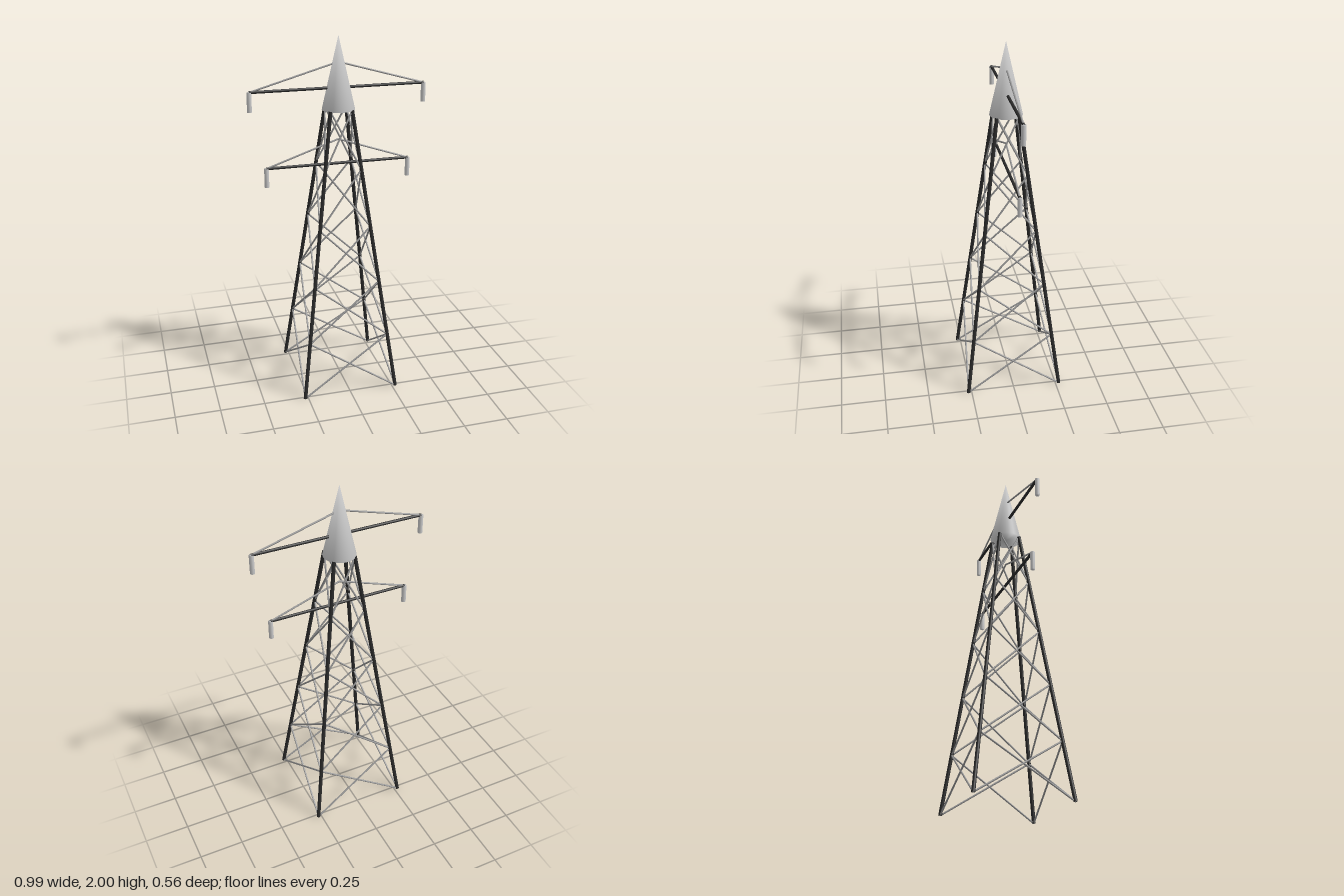
import * as THREE from 'three';
import { mergeVertices } from 'three/addons/utils/BufferGeometryUtils.js';

const steel = new THREE.MeshStandardMaterial({ color: 0x2b2b2b });
const braceMat = new THREE.MeshStandardMaterial({ color: 0x999999 });
const grey = new THREE.MeshStandardMaterial({ color: 0xcccccc });

// Welds caps to sides so the shading runs smoothly round the rims
function soften(geometry) {
  geometry.deleteAttribute('uv');
  geometry.deleteAttribute('normal');
  const welded = mergeVertices(geometry);
  welded.computeVertexNormals();
  return welded;
}

// Round bar between two points
function bar(name, a, b, radius, material) {
  const from = new THREE.Vector3(...a), to = new THREE.Vector3(...b);
  const dir = to.clone().sub(from);
  const mesh = new THREE.Mesh(soften(new THREE.CylinderGeometry(radius, radius, dir.length(), 12)), material);
  mesh.name = name;
  mesh.position.copy(from).add(to).multiplyScalar(0.5);
  mesh.quaternion.setFromUnitVectors(new THREE.Vector3(0, 1, 0), dir.normalize());
  return mesh;
}

export function createModel() {
  const tower = new THREE.Group();
  tower.name = 'pylon';

  const bottom = 0.003, top = 1.608, bays = 5;
  const height = i => bottom + (top - bottom) * i / bays;
  const halfWidth = i => 0.269 + (0.06 - 0.269) * i / bays;
  const signs = [[1, 1], [1, -1], [-1, -1], [-1, 1]];
  const corner = (k, i) => {
    const [sx, sz] = signs[k % 4];
    return [sx * halfWidth(i), height(i), sz * halfWidth(i)];
  };

  // Four tapering legs, with crossed bracing on each face
  for (let k = 0; k < 4; k++) {
    tower.add(bar('leg', corner(k, 0), corner(k, bays), 0.0105, steel));
    const face = new THREE.Group();
    face.name = 'faceBracing';
    for (let i = 0; i < bays; i++) {
      face.add(bar('brace', corner(k, i), corner(k + 1, i + 1), 0.005, braceMat));
      face.add(bar('brace', corner(k + 1, i), corner(k, i + 1), 0.005, braceMat));
    }
    tower.add(face);
  }

  // Two crossarms with sloping ties and hanging insulators
  for (const [name, reach, y] of [['lowerCrossarm', 0.402, 1.302], ['upperCrossarm', 0.482, 1.723]]) {
    const arm = new THREE.Group();
    arm.name = name;
    arm.add(bar('beam', [-reach, y, 0], [reach, y, 0], 0.008, steel));
    for (const s of [-1, 1]) {
      arm.add(bar('tie', [s * reach, y, 0], [0, y + 0.137, 0], 0.005, braceMat));
      arm.add(bar('insulator', [s * reach, y - 0.105, 0], [s * reach, y, 0], 0.013, grey));
    }
    tower.add(arm);
  }

  // Pointed cap
  const cap = new THREE.Mesh(soften(new THREE.ConeGeometry(0.09, 0.395, 32)), grey);
  cap.name = 'peakCone';
  cap.position.y = 1.8025;
  tower.add(cap);

  return tower;
}
